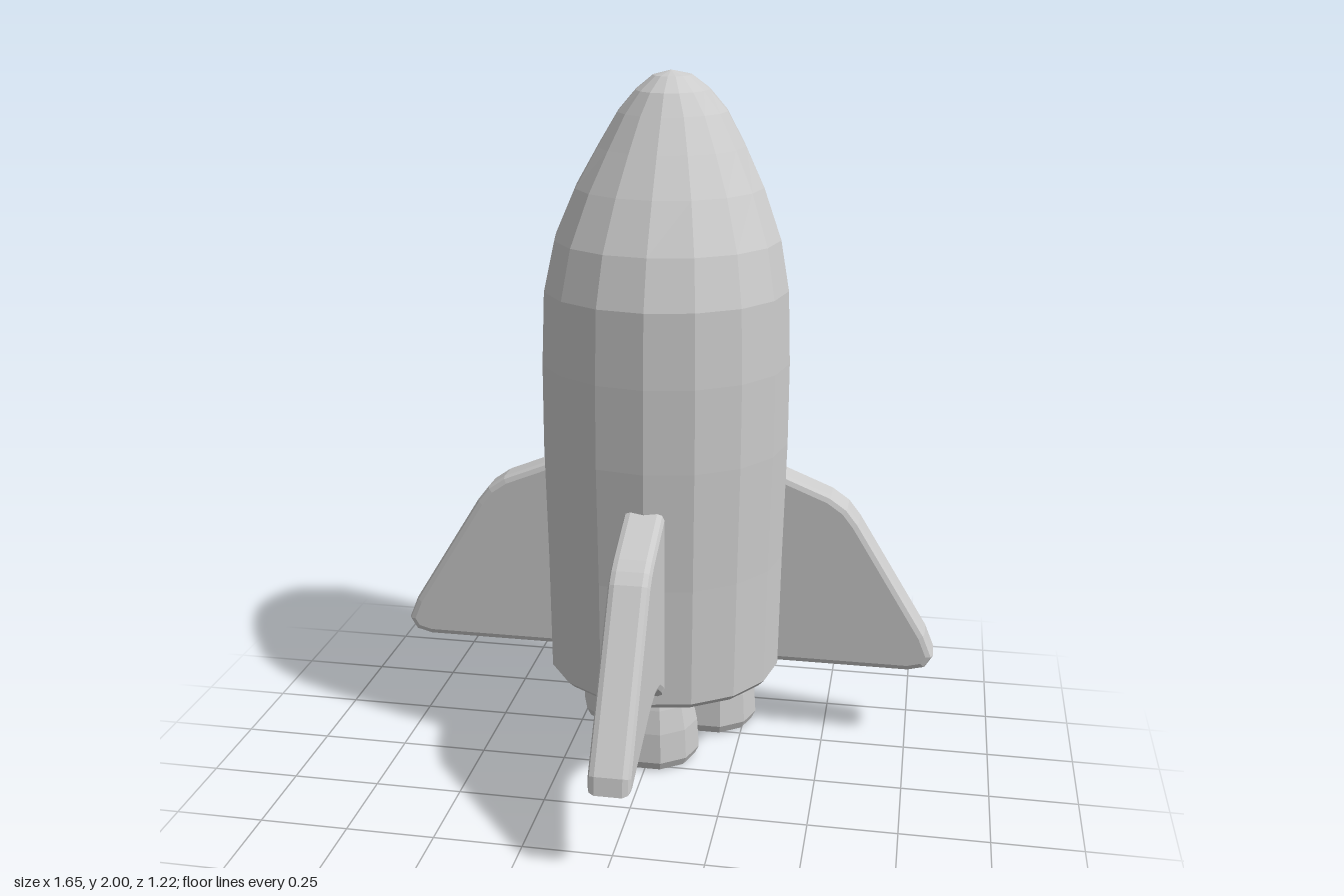
import * as THREE from 'three';

const material = new THREE.MeshStandardMaterial({ color: 0xcccccc, flatShading: true });
const AXIS_X = 0.012;

// Hull: 16-sided horizontal sections [y, front z, back z, half width]
function hullGeometry() {
  const sides = 16;
  const sections = [
    [0.23, 0.075, -0.585, 0.33], [0.25, 0.097, -0.6, 0.347], [0.6, 0.1, -0.603, 0.352],
    [0.95, 0.112, -0.61, 0.36], [1.19, 0.112, -0.609, 0.36], [1.4, 0.105, -0.603, 0.352],
    [1.54, 0.06, -0.597, 0.325], [1.68, -0.02, -0.592, 0.27], [1.79, -0.093, -0.587, 0.212],
    [1.885, -0.16, -0.55, 0.157], [1.945, -0.203, -0.5, 0.105], [1.985, -0.265, -0.42, 0.055],
  ];
  const pos = [];
  const index = [];
  for (const [y, zf, zb, rx] of sections) {
    for (let j = 0; j < sides; j++) {
      const a = (j / sides) * Math.PI * 2;
      pos.push(AXIS_X + rx * Math.sin(a), y, (zf + zb) / 2 + ((zf - zb) / 2) * Math.cos(a));
    }
  }
  const last = (sections.length - 1) * sides;
  const bottom = pos.length / 3;
  pos.push(AXIS_X, 0.23, -0.25, AXIS_X, 2, -0.32);
  for (let j = 0; j < sides; j++) {
    const k = (j + 1) % sides;
    for (let r = 0; r < last; r += sides) {
      index.push(r + j, r + k, r + sides + k, r + j, r + sides + k, r + sides + j);
    }
    index.push(bottom, k, j, bottom + 1, last + j, last + k);
  }
  const geo = new THREE.BufferGeometry();
  geo.setAttribute('position', new THREE.Float32BufferAttribute(pos, 3));
  geo.setIndex(index);
  geo.computeVertexNormals();
  return geo;
}

// Fin: outline in (outward, up), bevelled plate centred on its own plane
function finGeometry(outline) {
  const shape = new THREE.Shape(outline.map(([x, y]) => new THREE.Vector2(x, y)));
  const bevel = 0.02;
  const depth = 0.115 - 2 * bevel;
  const geo = new THREE.ExtrudeGeometry(shape, {
    depth, bevelEnabled: true, bevelSize: bevel, bevelOffset: -bevel,
    bevelThickness: bevel, bevelSegments: 2, curveSegments: 1,
  });
  return geo.translate(0, 0, -depth / 2);
}

export function createModel() {
  const model = new THREE.Group();
  model.name = 'rocket';
  const add = (name, geo, x = 0, y = 0, z = 0, turn = 0) => {
    const mesh = new THREE.Mesh(geo, material);
    mesh.name = name;
    mesh.position.set(x, y, z);
    mesh.rotation.y = turn;
    model.add(mesh);
  };

  add('hull', hullGeometry());

  // Side fins
  const sideFin = finGeometry([
    [0.25, 0.232], [0.75, 0.232], [0.8, 0.245], [0.823, 0.283], [0.795, 0.352],
    [0.585, 0.695], [0.55, 0.74], [0.5, 0.775], [0.345, 0.838], [0.25, 0.838],
  ]);
  add('leftFin', sideFin, 0, 0, -0.352, 0);
  add('rightFin', sideFin, 0, 0, -0.352, Math.PI);

  // Front fin with a swept, hollowed lower edge
  const frontFin = finGeometry([
    [0, 0.24], [0.06, 0.25], [0.11, 0.295], [0.165, 0.33], [0.228, 0.343], [0.31, 0.33],
    [0.575, 0.235], [0.613, 0.245], [0.605, 0.295], [0.33, 0.715], [0.3, 0.742],
    [0.265, 0.763], [0.1, 0.837], [0, 0.837],
  ]);
  add('frontFin', frontFin, AXIS_X, 0, 0, -Math.PI / 2);

  // Engine nozzles: ten-sided bells with a funnel inside
  const profile = [
    [0, 0.1], [0.045, 0.09], [0.095, 0.012], [0.108, 0.002], [0.125, 0.005],
    [0.137, 0.03], [0.131, 0.12], [0.116, 0.19], [0.1, 0.24],
  ].map(([r, y]) => new THREE.Vector2(r, y));
  const nozzle = new THREE.LatheGeometry(profile, 10);
  add('frontNozzle', nozzle, 0.007, 0, -0.095, Math.PI / 2);
  for (const side of [1, -1]) {
    add(side > 0 ? 'leftNozzle' : 'rightNozzle', nozzle, 0.01 + side * 0.138, 0, -0.355, Math.PI / 2);
  }
  return model;
}
